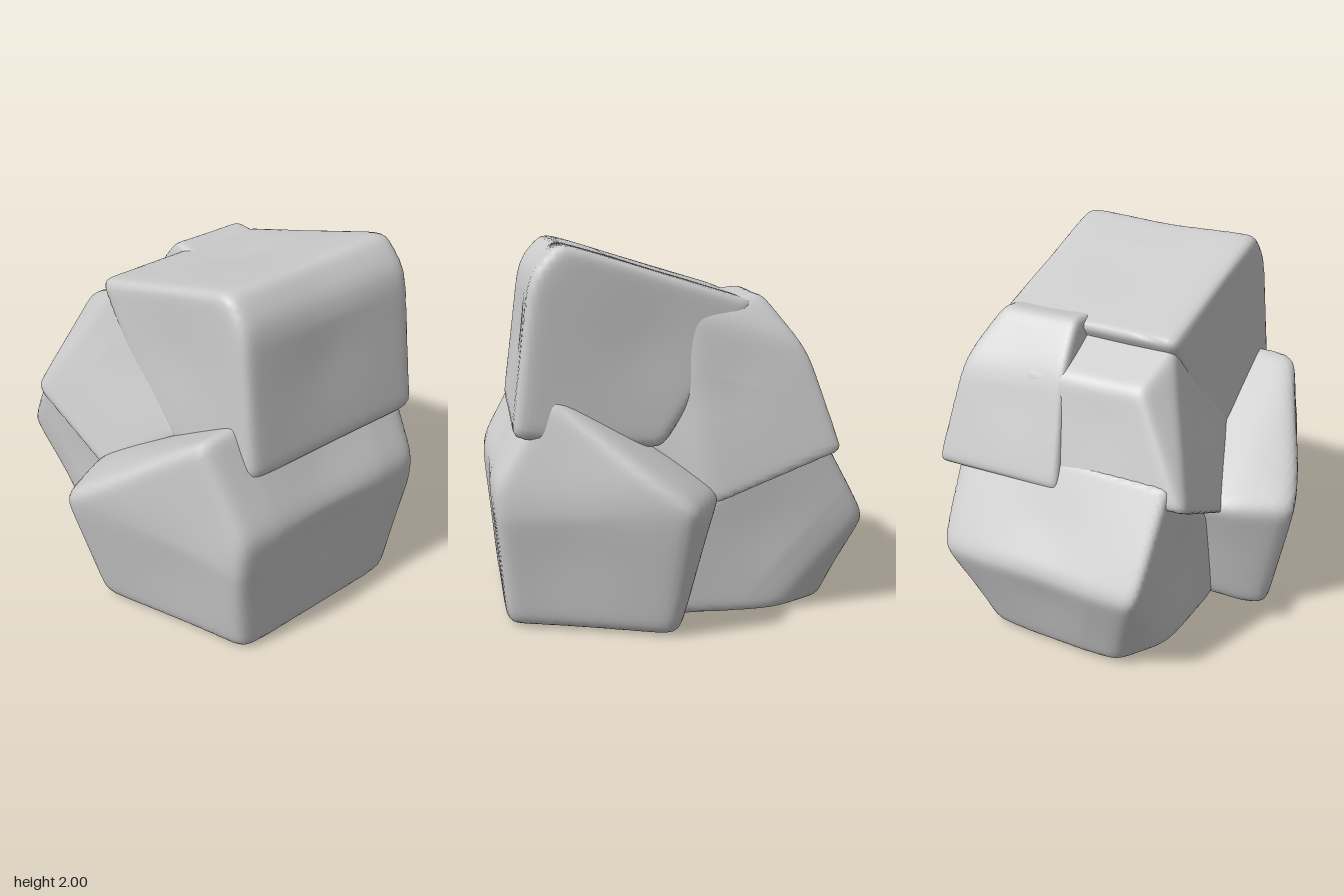
import * as THREE from 'three';
import { mergeVertices } from 'three/addons/utils/BufferGeometryUtils.js';
import { ConvexGeometry } from 'three/addons/geometries/ConvexGeometry.js';

const material = new THREE.MeshStandardMaterial({ color: 0xcccccc });

// Facet planes of the hull around the corners; nearly coplanar triangles are joined
function facetPlanes(points, centre) {
  const pos = new ConvexGeometry(points).attributes.position;
  const planes = [];
  for (let i = 0; i < pos.count; i += 3) {
    const [a, b, c] = [0, 1, 2].map(k => new THREE.Vector3().fromBufferAttribute(pos, i + k).sub(centre));
    const sum = b.clone().sub(a).cross(c.clone().sub(a));
    const area = sum.length();
    if (area < 1e-6) continue;
    const mid = a.add(b).add(c).multiplyScalar(area / 3);
    const n = sum.clone().normalize();
    const near = planes.find(p => p.sum.clone().normalize().dot(n) > 0.957);
    if (near) {
      near.sum.add(sum);
      near.mid.add(mid);
      near.area += area;
    } else planes.push({ sum, mid, area });
  }
  return planes.map(p => {
    const n = p.sum.normalize();
    return { n, d: n.dot(p.mid) / p.area };
  });
}

// A worn stone: a sphere pressed onto the facets. A lower power rounds the edges more;
// facets are dished slightly in the middle, except a flat underside.
function stone(name, corners, power, dish) {
  const points = corners.map(c => new THREE.Vector3(...c));
  const centre = new THREE.Box3().setFromPoints(points).getCenter(new THREE.Vector3());
  const planes = facetPlanes(points, centre);
  let geo = new THREE.IcosahedronGeometry(1, 34);
  geo.deleteAttribute('normal');
  geo.deleteAttribute('uv');
  geo = mergeVertices(geo, 1e-5);
  const pos = geo.attributes.position;
  const v = new THREE.Vector3();
  for (let i = 0; i < pos.count; i++) {
    v.fromBufferAttribute(pos, i).normalize();
    let s = 0, hollow = 0;
    for (const { n, d } of planes) {
      const facing = Math.max(0, n.dot(v));
      s += (facing / d) ** power;
      if (n.y > -0.95) hollow = Math.max(hollow, facing ** 8);
    }
    v.multiplyScalar(s ** (-1 / power) * (1 - dish * hollow)).add(centre);
    pos.setXYZ(i, v.x, v.y, v.z);
  }
  geo.computeVertexNormals();
  const mesh = new THREE.Mesh(geo, material);
  mesh.name = name;
  return mesh;
}

// Adds the mirror image of every corner across z = 0
const bothSides = list => list.flatMap(([x, y, z]) => [[x, y, z], [x, y, -z]]);

export function createModel() {
  const group = new THREE.Group();
  group.name = 'rockPile';

  group.add(
    // wide base boulder
    stone('baseBoulder', [
      ...bothSides([
        [0.03, 0, 0.8], [0.92, 0, 0.57], [0.0, 0.72, 1.06],
        [-0.23, 0.72, 0.66], [0.71, 1.31, 0.67], [0.02, 0, 0.5],
      ]),
      [1.02, 0.8, 0.61], [0.98, 0.8, -0.67],
    ], 26, 0.04),

    // low boulder beside it, its sides folding towards the base boulder
    stone('sideBoulder', bothSides([
      [-1.02, 0.52, 0.6], [-0.71, 1.08, 0.64], [-0.12, 0.62, 0.54],
      [-0.6, 0, 0.53], [-0.83, 0, 0.4], [0.06, 0, 0.54],
    ]), 28, 0.03),

    // middle stones, the rear one slightly taller
    stone('middleRearStone', [
      [-0.83, 0.93, -0.72], [-0.79, 0.93, 0.02], [-0.64, 1.47, -0.68], [-0.61, 1.5, -0.06],
      [-0.43, 1.74, -0.54], [-0.43, 1.74, -0.08], [0.0, 1.7, -0.58], [0.0, 1.7, -0.08],
      [-0.15, 0.66, -0.71], [-0.15, 0.66, 0.02], [0.28, 1.02, -0.48], [0.28, 1.02, 0.0],
    ], 30, 0.02),
    stone('middleFrontStone', [
      [-0.77, 0.94, -0.3], [-0.72, 0.97, 0.7], [-0.6, 1.5, 0.4], [-0.6, 1.5, -0.3],
      [-0.3, 1.66, 0.45], [-0.3, 1.66, -0.3], [-0.15, 0.66, 0.68], [-0.15, 0.66, -0.3],
      [0.28, 1.02, 0.44], [0.28, 1.02, -0.3],
    ], 30, 0.02),

    // top boulder
    stone('topBoulder', [
      [-0.39, 1.68, 0.48], [-0.4, 1.7, -0.58], [0.63, 2.01, 0.41], [0.63, 2.01, -0.66],
      [0.77, 1.87, 0.44], [0.77, 1.87, -0.69], [0.875, 1.04, 0.45], [0.875, 1.04, -0.7],
      [0.1, 0.95, 0.46], [0.1, 0.95, -0.64],
    ], 22, 0.03),
  );
  return group;
}
